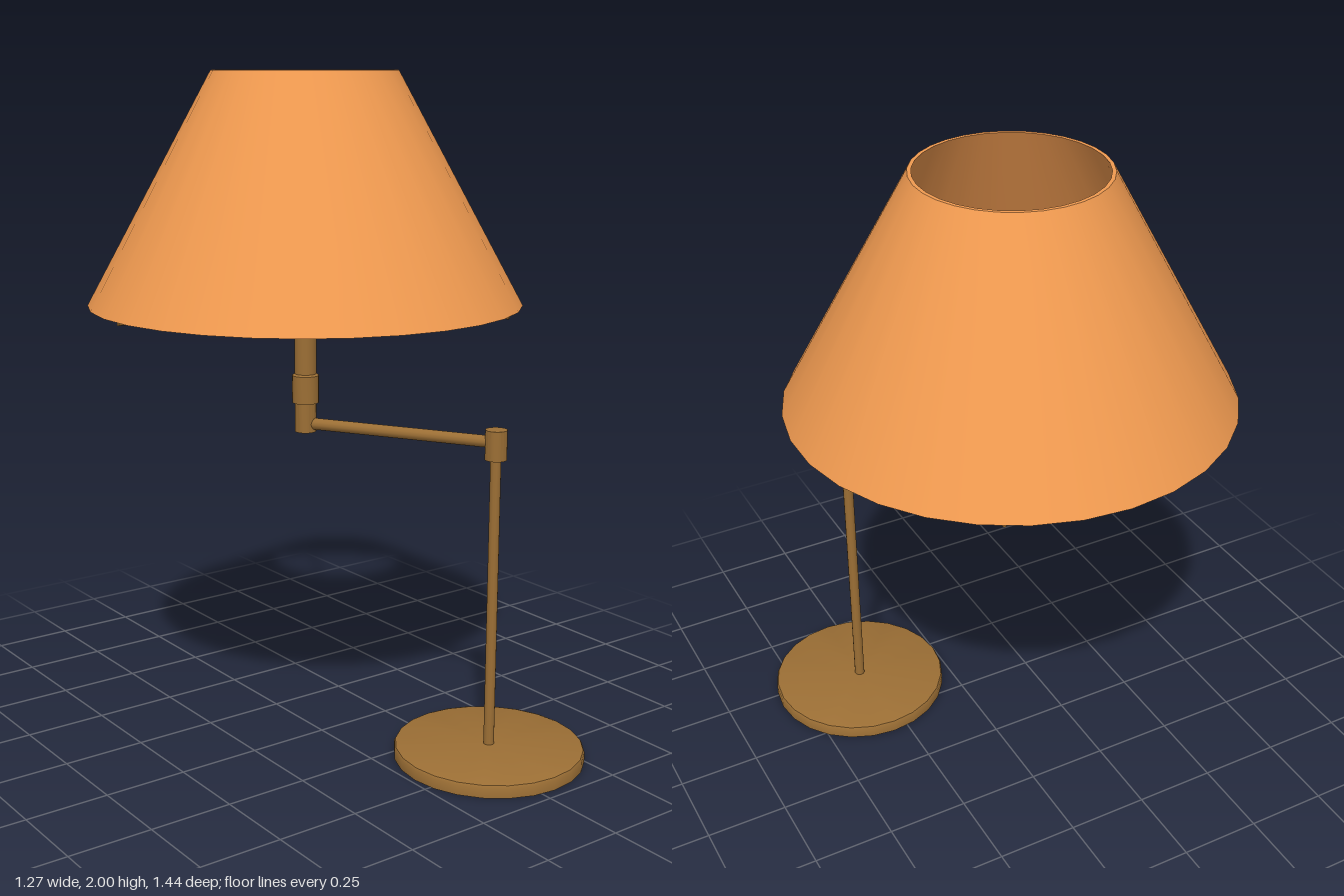
import * as THREE from 'three';
import { toCreasedNormals } from 'three/addons/utils/BufferGeometryUtils.js';

const brass = new THREE.MeshStandardMaterial({ color: 0x9c6f35 });
const fabric = new THREE.MeshStandardMaterial({ color: 0xf09a50 });
const glass = new THREE.MeshStandardMaterial({ color: 0xf0e8d0 });

// Revolved part from [radius, height] pairs, listed bottom to top on the outside
function lathe(name, profile, segments, material) {
  const points = profile.map(([r, y]) => new THREE.Vector2(r, y));
  const geometry = toCreasedNormals(new THREE.LatheGeometry(points, segments), 0.6);
  const mesh = new THREE.Mesh(geometry, material);
  mesh.name = name;
  return mesh;
}

// Straight round bar between two points
function rod(name, from, to, radius) {
  const dir = to.clone().sub(from);
  const mesh = new THREE.Mesh(new THREE.CylinderGeometry(radius, radius, dir.length(), 12), brass);
  mesh.position.copy(from).addScaledVector(dir, 0.5);
  mesh.quaternion.setFromUnitVectors(new THREE.Vector3(0, 1, 0), dir.normalize());
  mesh.name = name;
  return mesh;
}

export function createModel() {
  const lamp = new THREE.Group();
  lamp.name = 'swingArmLamp';

  // Stand: base disc, post and the pivot on top
  const stand = new THREE.Group();
  stand.name = 'stand';
  stand.position.set(0.297, 0, 0.438);
  stand.add(
    lathe('base', [[0, 0], [0.283, 0], [0.283, 0.03], [0.279, 0.037], [0.27, 0.04], [0, 0.04]], 24, brass),
    rod('post', new THREE.Vector3(0, 0.03, 0), new THREE.Vector3(0, 0.93, 0), 0.016),
    lathe('pivot', [[0, 0.912], [0.032, 0.912], [0.032, 1], [0, 1]], 20, brass),
  );

  // Head: socket, bulb and shade share one axis
  const head = new THREE.Group();
  head.name = 'head';
  head.position.set(0, 0, -0.083);
  head.add(
    lathe('socket', [
      [0, 0.938], [0.032, 0.938], [0.032, 1.027], [0.04, 1.027], [0.04, 1.11], [0.033, 1.115],
      [0.033, 1.28], [0.07, 1.28], [0.07, 1.328], [0, 1.328],
    ], 20, brass),
    lathe('bulb', [
      [0, 1.32], [0.038, 1.32], [0.042, 1.37], [0.055, 1.45], [0.074, 1.53], [0.08, 1.565],
      [0.077, 1.59], [0.064, 1.613], [0.04, 1.628], [0.015, 1.634], [0, 1.636],
    ], 24, glass),
    // Hollow shade wall, outside then back down the inside
    lathe('shade', [[0.638, 1.33], [0.27, 2], [0.259, 2], [0.624, 1.33], [0.638, 1.33]], 30, fabric),
  );

  // Three spokes carry the shade
  for (let i = 0; i < 3; i++) {
    const a = Math.PI / 3 + (i * 2 * Math.PI) / 3;
    const end = new THREE.Vector3(Math.cos(a) * 0.627, 1.325, Math.sin(a) * 0.627);
    head.add(rod('shadeSpoke', new THREE.Vector3(0, 1.325, 0), end, 0.006));
  }

  // Arm joins the pivot to the head
  const arm = rod('swingArm', new THREE.Vector3(0.297, 0.963, 0.438), new THREE.Vector3(0, 0.963, -0.083), 0.018);
  lamp.add(stand, arm, head);
  return lamp;
}
